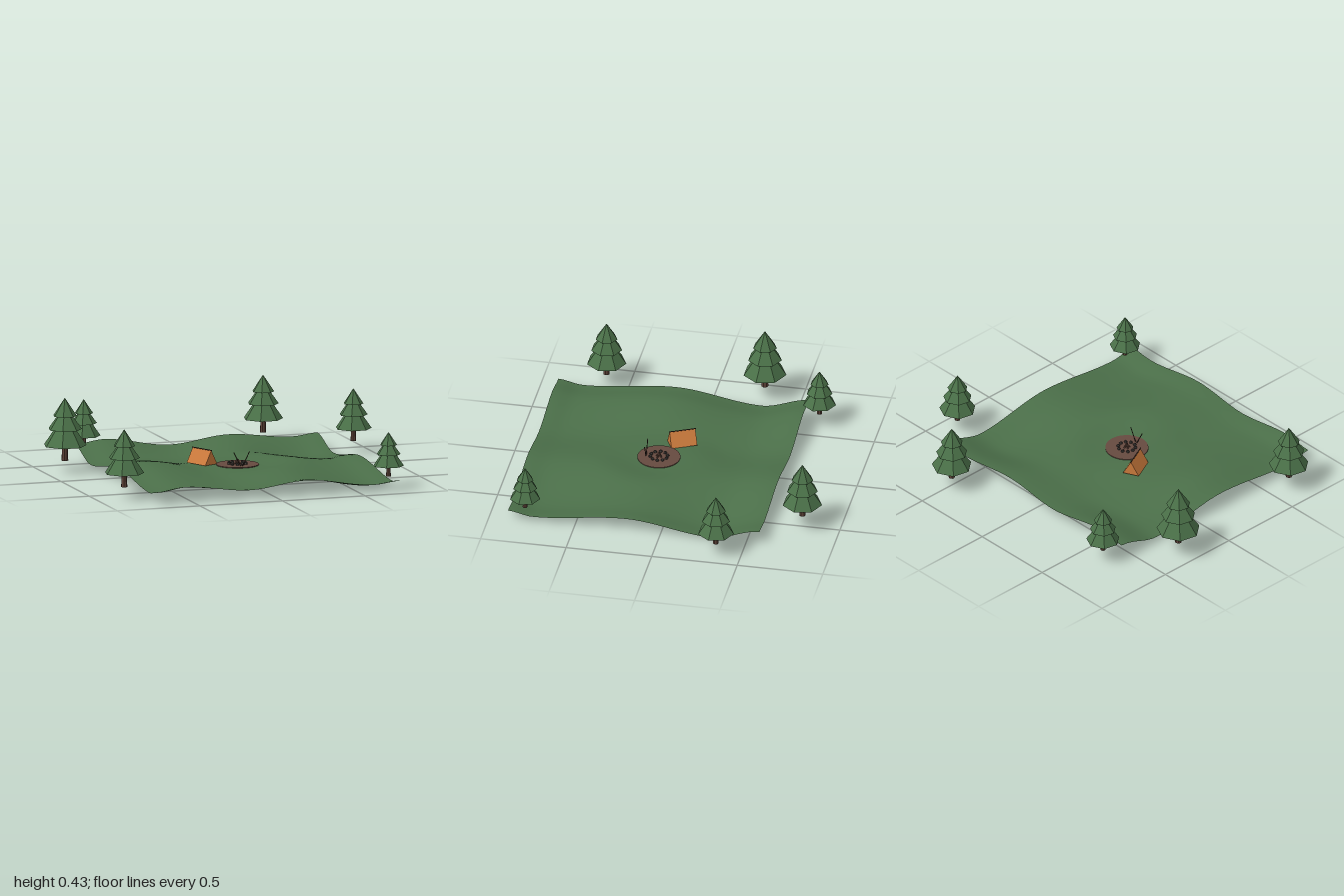
import * as THREE from 'three';

const paint = (name, color, extra = {}) => {
  const m = new THREE.MeshStandardMaterial({ color, ...extra });
  m.name = name;
  return m;
};

// Smooth interpolation through hills and hollows given as [position, height]
function wave(knots, t) {
  for (let i = 1; i < knots.length; i++) {
    const [a, ha] = knots[i - 1], [b, hb] = knots[i];
    if (t <= b) return THREE.MathUtils.lerp(ha, hb, THREE.MathUtils.smoothstep(t, a, b));
  }
  return knots[knots.length - 1][1];
}

const BASE = 0.067;               // level of the camp and the tree feet
const FIRE = { x: 0.015, z: 0.155 }; // middle of the meadow
const ALONG_X = [[-0.72, 0], [-0.54, 0.022], [-0.165, -0.015], [0.18, 0.022], [0.6, -0.03], [0.75, -0.015]];
const ALONG_Z = [[-0.58, 0.035], [-0.3, -0.035], [0.2, 0.03], [0.75, -0.02], [0.89, 0.005]];

function groundHeight(x, z) {
  const swell = THREE.MathUtils.lerp(0.35, 1, THREE.MathUtils.smoothstep(Math.abs(x), 0, 0.6));
  const flat = THREE.MathUtils.smoothstep(Math.hypot(x - FIRE.x, z - FIRE.z), 0.1, 0.4);
  return 0.065 + flat * (wave(ALONG_X, x) + swell * wave(ALONG_Z, z));
}

export function createModel() {
  const mats = {
    grass: paint('grass green', 0x4b6f49, { side: THREE.DoubleSide }),
    needles: paint('needle green', 0x4a7048, { flatShading: true }),
    bark: paint('bark brown', 0x5a4036, { flatShading: true }),
    canvas: paint('canvas orange', 0xcb7a3c, { flatShading: true }),
    dirt: paint('dirt brown', 0x664a40),
    stone: paint('stone grey', 0x3f3b38, { flatShading: true }),
    pole: paint('dark wood', 0x3a2a22),
  };
  const model = new THREE.Group();
  model.name = 'campsite';

  const add = (parent, name, geo, mat, x = 0, y = 0, z = 0) => {
    const mesh = new THREE.Mesh(geo, mat);
    mesh.name = name;
    mesh.position.set(x, y, z);
    parent.add(mesh);
    return mesh;
  };
  // Thin round rod between two points
  const rod = (parent, name, a, b, radius, mat, sides = 6) => {
    const from = new THREE.Vector3(...a), to = new THREE.Vector3(...b);
    const dir = to.clone().sub(from);
    const mesh = add(parent, name, new THREE.CylinderGeometry(radius, radius, dir.length(), sides), mat);
    mesh.position.copy(from).add(to).multiplyScalar(0.5);
    mesh.quaternion.setFromUnitVectors(new THREE.Vector3(0, 1, 0), dir.normalize());
    return mesh;
  };

  // Rolling meadow: one open sheet
  const meadow = new THREE.PlaneGeometry(1.47, 1.47, 48, 48).rotateX(-Math.PI / 2);
  meadow.translate(FIRE.x, 0, FIRE.z);
  const p = meadow.attributes.position;
  for (let i = 0; i < p.count; i++) p.setY(i, groundHeight(p.getX(i), p.getZ(i)));
  meadow.computeVertexNormals();
  add(model, 'meadow', meadow, mats.grass);

  // Pines: x, z, height
  const pines = [
    [-0.88, -0.285, 0.365], [-0.833, 0.631, 0.335], [0.488, -0.778, 0.335],
    [0.89, -0.353, 0.305], [0.71, 0.798, 0.258], [-0.64, -0.652, 0.28],
  ];
  // Tiers as parts of the height: skirt level, radius, cone height
  const tiers = [[0.24, 0.345, 0.5], [0.5, 0.27, 0.38], [0.71, 0.19, 0.29]];
  for (const [x, z, h] of pines) {
    const pine = new THREE.Group();
    pine.name = 'pineTree';
    pine.position.set(x, BASE, z);
    pine.rotation.y = Math.PI;
    add(pine, 'trunk', new THREE.CylinderGeometry(0.042 * h, 0.055 * h, 0.3 * h, 7), mats.bark, 0, 0.15 * h, 0);
    for (const [y, r, ch] of tiers) {
      add(pine, 'branchTier', new THREE.ConeGeometry(r * h, ch * h, 7), mats.needles, 0, (y + ch / 2) * h, 0);
    }
    model.add(pine);
  }

  // Ridge tent
  const tent = new THREE.Group();
  tent.name = 'tent';
  tent.position.set(-0.165, BASE, 0.054);
  tent.rotation.y = 0.445;
  const gable = new THREE.Shape();
  gable.moveTo(-0.048, 0);
  gable.lineTo(0.048, 0);
  gable.lineTo(0, 0.084);
  gable.closePath();
  const cloth = new THREE.ExtrudeGeometry(gable, { depth: 0.152, bevelEnabled: false });
  add(tent, 'tentCloth', cloth.translate(0, 0, -0.076), mats.canvas);
  rod(tent, 'ridgePole', [0, 0.084, -0.08], [0, 0.084, 0.08], 0.003, mats.pole);
  model.add(tent);

  // Campfire: bare earth, stone ring and a small stack of logs
  const camp = new THREE.Group();
  camp.name = 'campfire';
  camp.position.set(FIRE.x, BASE, FIRE.z);
  add(camp, 'bareEarth', new THREE.CylinderGeometry(0.124, 0.124, 0.004, 28), mats.dirt, 0, 0.001, 0);
  for (let i = 0; i < 10; i++) {
    const a = (i / 10) * Math.PI * 2;
    const stone = add(camp, 'ringStone', new THREE.DodecahedronGeometry(0.0105), mats.stone,
      Math.cos(a) * 0.05, 0.007, Math.sin(a) * 0.05);
    stone.rotation.set(i, i * 2, 0);
  }
  for (let i = 0; i < 4; i++) {
    const a = (i / 4) * Math.PI * 2 + 0.4;
    const c = Math.cos(a), s = Math.sin(a);
    rod(camp, 'log', [c * 0.018, 0, s * 0.018], [-c * 0.004, 0.03, -s * 0.004], 0.005, mats.bark);
  }
  // Pair of leaning roasting sticks
  for (const side of [-1, 1]) {
    rod(camp, 'roastingStick', [side * 0.004, 0, 0.075], [side * 0.048, 0.085, 0.075], 0.0025, mats.pole);
  }
  model.add(camp);
  return model;
}
